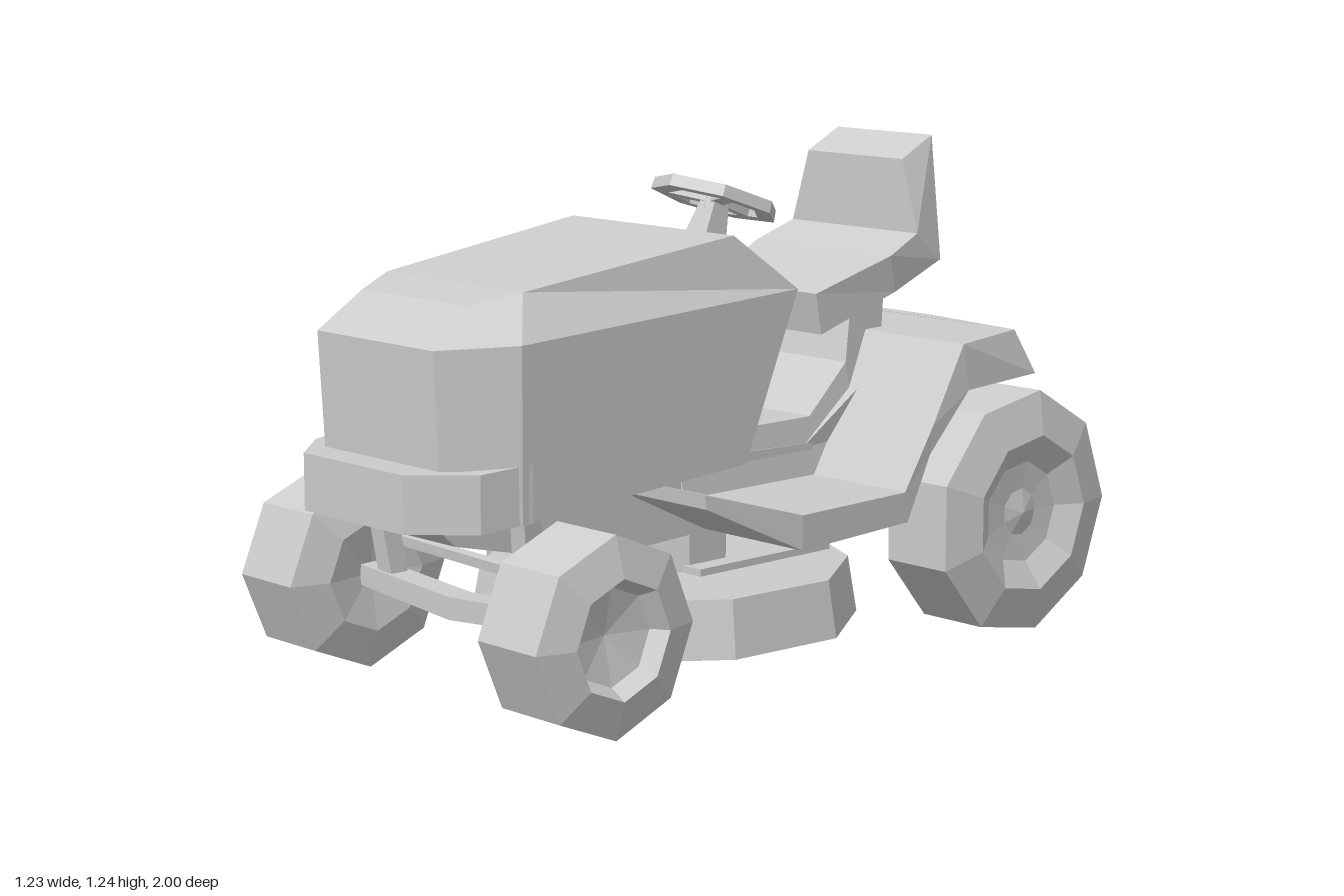
import * as THREE from 'three';

const material = new THREE.MeshStandardMaterial({ color: 0xcccccc, flatShading: true, side: THREE.DoubleSide });

function add(parent, name, geometry, x = 0, y = 0, z = 0) {
  const mesh = new THREE.Mesh(geometry, material);
  mesh.name = name;
  mesh.position.set(x, y, z);
  parent.add(mesh);
  return mesh;
}

// Skins mirrored cross-sections; each is given as its +x half, running round from one centre side to the other
function loft(halves) {
  const loops = halves.map(h => [...h, ...h.map(([x, y, z]) => [-x, y, z]).reverse()]);
  const n = loops[0].length, tris = [];
  const quad = (a, b, c, d) => tris.push([a, b, c], [a, c, d]);
  for (let s = 0; s + 1 < loops.length; s++)
    for (let i = 0; i < n; i++) {
      const j = (i + 1) % n;
      quad(loops[s][i], loops[s][j], loops[s + 1][j], loops[s + 1][i]);
    }
  const first = loops[0], last = loops[loops.length - 1];
  for (let i = 0; i < n / 2 - 1; i++) {
    const k = n - 1 - i;
    quad(first[k], first[k - 1], first[i + 1], first[i]);
    quad(last[i], last[i + 1], last[k - 1], last[k]);
  }
  // Turn the skin outward if its enclosed volume is negative
  const v = p => new THREE.Vector3(...p);
  const volume = tris.reduce((sum, [a, b, c]) => sum + v(a).dot(v(b).cross(v(c))), 0);
  if (volume < 0) tris.forEach(t => t.reverse());
  const g = new THREE.BufferGeometry();
  g.setAttribute('position', new THREE.Float32BufferAttribute(tris.flat(2), 3));
  g.computeVertexNormals();
  return g;
}

// Bent slab: each section is [zTop, yTop, halfTop, zBottom, yBottom, halfBottom, bow]
function slab(sections) {
  return loft(sections.map(([zt, yt, wt, zb, yb, wb, bow = 0]) => [
    [0.1, yt, zt - bow], [wt, yt, zt], [wb, yb, zb], [0.1, yb, zb - bow]]));
}

// Straight bar between two points
function bar(parent, name, from, to, r0, r1 = r0, sides = 4) {
  const a = new THREE.Vector3(...from), b = new THREE.Vector3(...to);
  const g = new THREE.CylinderGeometry(r1, r0, a.distanceTo(b), sides);
  g.rotateY(Math.PI / 4);
  const mesh = add(parent, name, g);
  mesh.position.copy(a).lerp(b, 0.5);
  mesh.quaternion.setFromUnitVectors(new THREE.Vector3(0, 1, 0), b.sub(a).normalize());
}

// Wheel with its outer side facing +x or -x; profile is [radius, outward offset]
function wheel(parent, name, profile, sides, start, side, y, z) {
  const points = profile.map(([r, o]) => new THREE.Vector2(r, o));
  const g = new THREE.LatheGeometry(points, sides, start);
  g.rotateZ(-side * Math.PI / 2);
  add(parent, name, g, side * 0.44, y, z);
}

export function createModel() {
  const model = new THREE.Group();
  model.name = 'ridingMower';
  const body = new THREE.Group();
  body.name = 'tractor';
  body.position.x = 0.046;
  model.add(body);

  // Hood and bumper, lofted upward
  add(body, 'hood', loft([
    [[0.32, 0.515, 0.07], [0.32, 0.47, 0.77], [0.208, 0.47, 0.91]],
    [[0.322, 0.92, -0.1], [0.322, 0.875, 0.77], [0.21, 0.868, 0.932]],
    [[0.285, 1.06, 0.08], [0.245, 0.98, 0.7], [0.185, 0.955, 0.82]],
  ]));
  add(body, 'bumper', loft([0.46, 0.595].map(y =>
    [[0.322, y + 0.01, 0.74], [0.3, y, 0.875], [0.18, y, 1]])));

  // Chassis and rear transmission
  add(body, 'chassis', slab([
    [0.9, 0.5, 0.18, 0.9, 0.455, 0.18],
    [0.85, 0.5, 0.18, 0.85, 0.41, 0.18],
    [0.45, 0.52, 0.18, 0.45, 0.315, 0.18],
    [-0.3, 0.5, 0.18, -0.3, 0.345, 0.18],
  ]));
  add(body, 'transmission', slab([
    [-0.28, 0.5, 0.18, -0.28, 0.35, 0.18],
    [-0.5, 0.66, 0.2, -0.5, 0.28, 0.15],
    [-0.76, 0.66, 0.2, -0.76, 0.34, 0.15],
  ]));

  // Footboards sweeping up into the fenders
  add(body, 'footboardAndFenders', slab([
    [0.345, 0.5, 0.465, 0.34, 0.465, 0.465],
    [0.07, 0.42, 0.51, 0.07, 0.335, 0.51],
    [-0.3, 0.42, 0.495, -0.31, 0.345, 0.495],
    [-0.41, 0.57, 0.485, -0.4, 0.5, 0.485],
    [-0.54, 0.755, 0.465, -0.55, 0.64, 0.475],
    [-0.79, 0.76, 0.415, -0.845, 0.645, 0.44, 0.04],
  ]));
  add(body, 'centreTunnel', slab([
    [0.15, 0.565, 0.17, 0.15, 0.4, 0.19],
    [-0.3, 0.565, 0.17, -0.3, 0.4, 0.19],
    [-0.44, 0.685, 0.16, -0.46, 0.5, 0.18],
    [-0.49, 0.85, 0.13, -0.6, 0.7, 0.13],
    [-0.52, 0.88, 0.13, -0.61, 0.86, 0.13],
  ]));

  // Seat
  add(body, 'seat', slab([
    [-0.3, 0.875, 0.19, -0.325, 0.77, 0.185],
    [-0.52, 0.955, 0.237, -0.55, 0.86, 0.225],
    [-0.635, 1.0, 0.22, -0.735, 0.925, 0.21],
    [-0.635, 1.185, 0.165, -0.745, 1.24, 0.165],
  ]));

  // Steering wheel and column
  const steering = new THREE.Group();
  steering.name = 'steering';
  steering.position.set(0, 1.11, -0.138);
  steering.rotation.x = -0.36;
  body.add(steering);
  const rim = [[0.115, 0.015], [0.118, -0.015], [0.163, -0.015], [0.16, 0.015], [0.115, 0.015]];
  add(steering, 'steeringRim', new THREE.LatheGeometry(rim.map(p => new THREE.Vector2(...p)), 7));
  add(steering, 'steeringHub', new THREE.CylinderGeometry(0.03, 0.03, 0.03, 6), 0, -0.015, 0);
  for (let i = 0; i < 3; i++) {
    const g = new THREE.BoxGeometry(0.035, 0.02, 0.12);
    g.translate(0, -0.005, 0.065).rotateY(i * Math.PI * 2 / 3 + Math.PI);
    add(steering, 'steeringSpoke', g);
  }
  bar(body, 'steeringColumn', [0, 0.93, -0.07], [0, 1.1, -0.135], 0.07, 0.035);

  // Mower deck, hanger and discharge chute
  const deck = [[0.001, 0.47], [0.28, 0.43], [0.44, 0.22], [0.46, -0.1], [0.3, -0.34], [0.12, -0.43]];
  add(body, 'mowerDeck', loft([[1, 0.085], [0.95, 0.225]].map(([s, y]) =>
    deck.map(([x, z]) => [x * s, y, z * s]))));
  add(body, 'deckHanger', new THREE.CylinderGeometry(0.16, 0.16, 0.2, 8).rotateY(Math.PI / 8), 0, 0.3, 0.03);
  add(body, 'deckPlate', new THREE.BoxGeometry(0.4, 0.02, 0.45), 0, 0.233, -0.12);
  const outline = [[-0.66, 0.33], [-0.5, 0.19], [-0.4, -0.22], [-0.49, -0.2], [-0.62, -0.07]];
  const chute = new THREE.ExtrudeGeometry(new THREE.Shape(outline.map(p => new THREE.Vector2(...p))),
    { depth: 0.14, bevelEnabled: false });
  add(body, 'dischargeChute', chute.rotateX(-Math.PI / 2), 0, 0.085, 0);

  // Front axle beam, dipping at the centre
  const beam = new THREE.Shape([[-0.34, 0.265], [0, 0.242], [0.34, 0.265], [0.34, 0.215], [0, 0.187], [-0.34, 0.215]]
    .map(p => new THREE.Vector2(...p)));
  add(body, 'frontAxle', new THREE.ExtrudeGeometry(beam, { depth: 0.07, bevelEnabled: false }), 0, 0, 0.655);

  // Wheels and their supports; profiles run from the inner hub round the tread to the outer dish
  const frontProfile = [[0, -0.1], [0.14, -0.125], [0.235, -0.095], [0.235, 0.1], [0.14, 0.128], [0.115, 0.085], [0, 0.06]];
  const rearProfile = [[0, -0.09], [0.2, -0.115], [0.31, -0.09], [0.31, 0.1], [0.2, 0.13], [0.13, 0.09], [0.06, 0.085], [0, 0.1]];
  for (const side of [-1, 1]) {
    wheel(body, 'frontWheel', frontProfile, 8, 0, side, 0.237, 0.69);
    wheel(body, 'rearWheel', rearProfile, 9, Math.PI, side, 0.32, -0.692);
    bar(body, 'kingpin', [side * 0.25, 0.25, 0.69], [side * 0.27, 0.48, 0.72], 0.035);
    bar(body, 'tieRod', [0, 0.285, 0.56], [side * 0.34, 0.31, 0.6], 0.018);
    bar(body, 'rearAxle', [0, 0.32, -0.692], [side * 0.36, 0.32, -0.692], 0.03);
  }
  return model;
}
